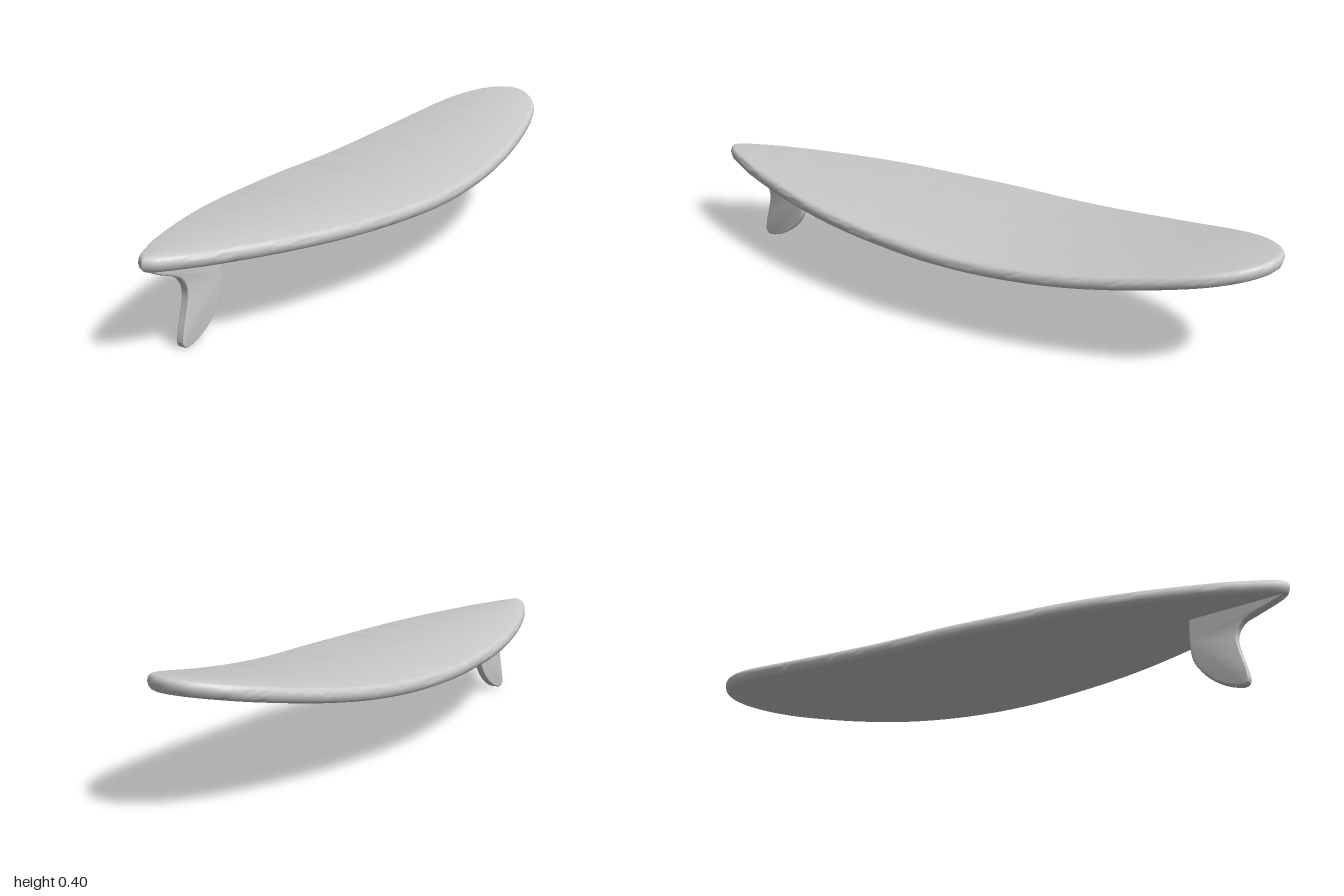
import * as THREE from 'three';
import { toCreasedNormals } from 'three/addons/utils/BufferGeometryUtils.js';

const material = new THREE.MeshStandardMaterial({ color: 0xcccccc });
const spline = (pts) => new THREE.SplineCurve(pts.map(([a, b]) => new THREE.Vector2(a, b)));

// Half outline as [halfWidth, z], from nose (-z) to tail (+z)
const outline = spline([
  [0, -1], [0.06, -0.983], [0.128, -0.92], [0.183, -0.81], [0.235, -0.6], [0.268, -0.38],
  [0.286, -0.1], [0.281, 0.1], [0.245, 0.38], [0.19, 0.6], [0.115, 0.81], [0.07, 0.905],
  [0.03, 0.975], [0, 0.995],
]);

// Underside height along the board as [z, y]
const rocker = spline([
  [-1, 0.357], [-0.8, 0.316], [-0.6, 0.278], [-0.4, 0.249], [-0.2, 0.232], [0, 0.227],
  [0.25, 0.229], [0.5, 0.237], [0.75, 0.247], [1, 0.258],
]).getPoints(90);

function rockerY(z) {
  let i = 0;
  while (i < rocker.length - 2 && rocker[i + 1].x < z) i++;
  const a = rocker[i], b = rocker[i + 1];
  return a.y + (b.y - a.y) * THREE.MathUtils.clamp((z - a.x) / (b.x - a.x), 0, 1);
}

// Rail section as [inset from outline, height above underside], bottom to top
const rail = [
  [0.016, 0], [0.009, 0.003], [0.003, 0.01], [0, 0.022],
  [0.001, 0.03], [0.004, 0.037], [0.009, 0.042], [0.015, 0.044],
];

// Board: a closed rail-to-rail loop swept along the outline
function boardGeometry() {
  const stations = 96, n = rail.length, ring = n * 2;
  const pos = [], index = [];
  for (let i = 0; i <= stations; i++) {
    const t = i / stations;
    const p = outline.getPointAt(t);
    const tan = outline.getTangentAt(t);
    let nx = tan.y, nz = -tan.x;
    if (i === 0) { nx = 0; nz = -1; }
    if (i === stations) { nx = 0; nz = 1; }
    const point = ([inset, h], side) => {
      const x = Math.max(0, p.x - nx * inset), z = p.y - nz * inset;
      pos.push(side * x, rockerY(z) + h, z);
    };
    rail.forEach((r) => point(r, 1));
    [...rail].reverse().forEach((r) => point(r, -1));
  }
  for (let i = 0; i < stations; i++) {
    for (let j = 0; j < ring; j++) {
      const a = i * ring + j, b = i * ring + (j + 1) % ring;
      index.push(a, b, a + ring, b, b + ring, a + ring);
    }
  }
  const g = new THREE.BufferGeometry();
  g.setAttribute('position', new THREE.Float32BufferAttribute(pos, 3));
  g.setIndex(index);
  return toCreasedNormals(g, 0.7);
}

// Fin: swept-back blade drawn as [z, y], with softened edges
function finGeometry() {
  const s = new THREE.Shape();
  s.moveTo(0.97, 0.27);
  s.lineTo(0.97, 0.255);
  s.bezierCurveTo(0.93, 0.23, 0.875, 0.225, 0.85, 0.2);
  s.bezierCurveTo(0.815, 0.165, 0.832, 0.13, 0.842, 0.085);
  s.quadraticCurveTo(0.853, 0.05, 0.856, 0.022);
  s.quadraticCurveTo(0.855, 0.002, 0.835, 0.002);
  s.bezierCurveTo(0.78, 0.008, 0.715, 0.055, 0.693, 0.11);
  s.quadraticCurveTo(0.678, 0.16, 0.69, 0.27);
  s.closePath();
  const bevel = 0.004, width = 0.026;
  const g = new THREE.ExtrudeGeometry(s, {
    depth: width - 2 * bevel, curveSegments: 10,
    bevelEnabled: true, bevelSize: bevel, bevelThickness: bevel, bevelOffset: -bevel, bevelSegments: 3,
  });
  g.translate(0, 0, bevel - width / 2);
  g.rotateY(-Math.PI / 2);
  return toCreasedNormals(g, 0.7);
}

export function createModel() {
  const group = new THREE.Group();
  group.name = 'surfboard';
  const add = (name, geometry) => {
    const mesh = new THREE.Mesh(geometry, material);
    mesh.name = name;
    group.add(mesh);
  };
  add('board', boardGeometry());
  add('fin', finGeometry());
  return group;
}
